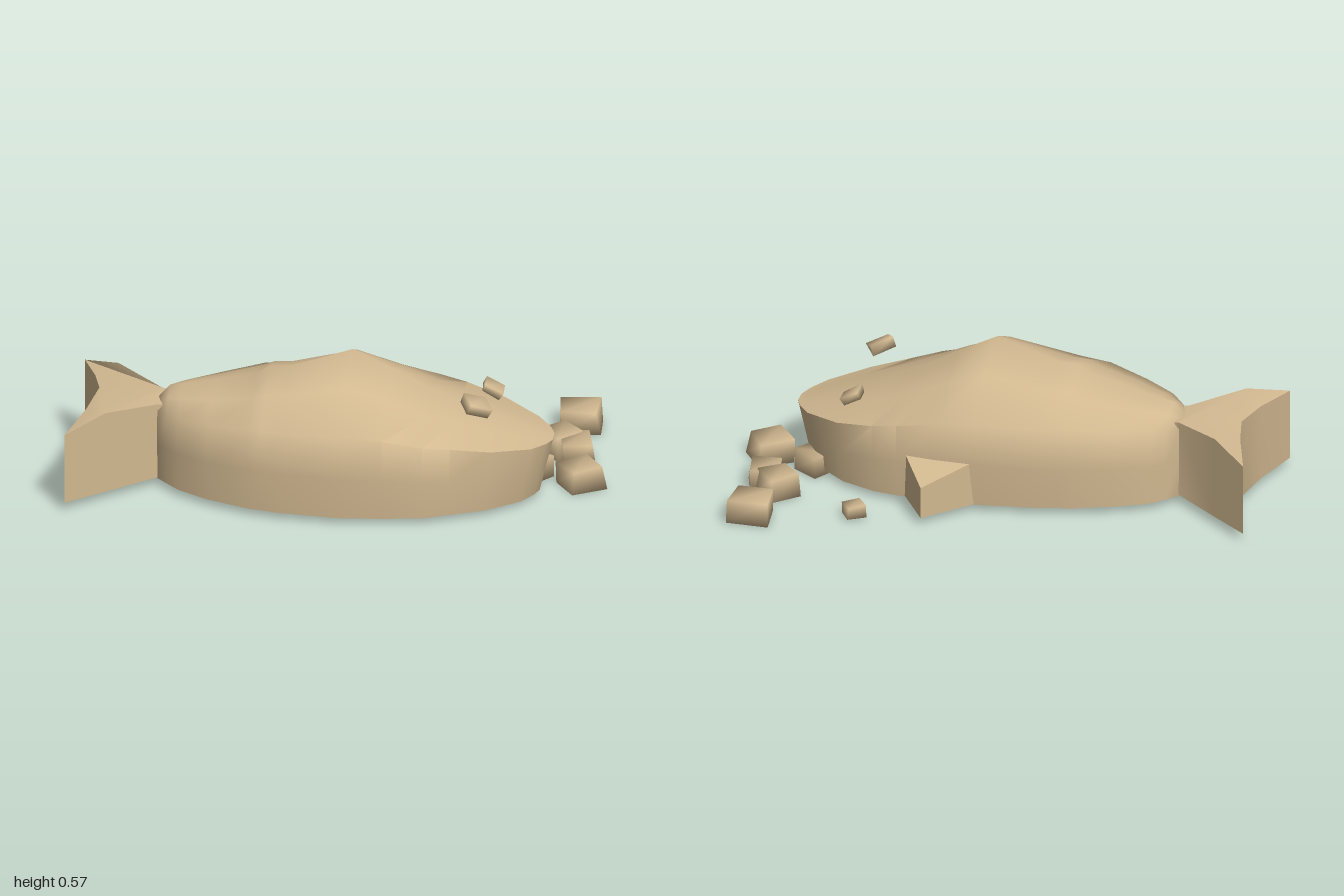
import * as THREE from 'three';
import { mergeVertices, toCreasedNormals } from 'three/addons/utils/BufferGeometryUtils.js';

const sand = new THREE.MeshStandardMaterial({ color: 0xd2b991 });
sand.name = 'sand';

function add(parent, name, geometry) {
  const mesh = new THREE.Mesh(geometry, sand);
  mesh.name = name;
  parent.add(mesh);
  return mesh;
}

// Merge corners and shade them smoothly
function soften(geometry) {
  geometry.deleteAttribute('uv');
  geometry.deleteAttribute('normal');
  const merged = mergeVertices(geometry, 1e-4);
  merged.computeVertexNormals();
  return merged;
}

// Fish body: sections of [x, back z, front z, wall height, ridge height]
const SECTIONS = [
  [-0.68, 0.08, 0.235, 0.31, 0.34],
  [-0.64, 0.03, 0.28, 0.32, 0.385],
  [-0.59, -0.02, 0.335, 0.33, 0.395],
  [-0.47, -0.08, 0.41, 0.34, 0.42],
  [-0.31, -0.14, 0.475, 0.36, 0.457],
  [-0.26, -0.15, 0.485, 0.36, 0.49],
  [-0.19, -0.168, 0.5, 0.36, 0.49],
  [0.05, -0.203, 0.521, 0.365, 0.57],
  [0.2, -0.203, 0.505, 0.35, 0.495],
  [0.35, -0.195, 0.482, 0.32, 0.415],
  [0.45, -0.18, 0.44, 0.3, 0.37],
  [0.6, -0.125, 0.38, 0.27, 0.312],
  [0.74, -0.02, 0.28, 0.245, 0.26],
  [0.79, 0.05, 0.21, 0.238, 0.242],
  [0.81, 0.1, 0.16, 0.235, 0.236],
];

function bodyGeometry() {
  const pos = [], idx = [], n = 9;
  for (const [x, back, front, wall, ridge] of SECTIONS) {
    const mid = (back + front) / 2, half = (front - back) / 2;
    const floor = 0.028 - 0.005 * x;
    const tuck = 0.05 * Math.max(0, (x - 0.4) / 0.41); // nose leans forward
    const ring = [
      [-0.96, floor], [-1, floor + (wall - floor) * 0.5], [-0.985, wall],
      [-0.48, wall + (ridge - wall) * 0.6], [0, ridge], [0.48, wall + (ridge - wall) * 0.6],
      [0.985, wall], [1, floor + (wall - floor) * 0.5], [0.96, floor],
    ];
    for (const [u, y] of ring) {
      const lean = tuck * Math.max(0, 1 - (y - floor) / (wall - floor));
      pos.push(x - lean, y, mid + half * u);
    }
  }
  const last = SECTIONS.length - 1;
  for (let i = 0; i < last; i++) {
    for (let j = 0; j < n; j++) {
      const k = (j + 1) % n;
      const a = i * n + j, b = a + n, c = i * n + k, d = c + n;
      idx.push(a, c, b, b, c, d);
    }
  }
  for (let j = 1; j < n - 1; j++) {
    idx.push(0, j + 1, j);
    idx.push(last * n, last * n + j, last * n + j + 1);
  }
  const g = new THREE.BufferGeometry();
  g.setAttribute('position', new THREE.Float32BufferAttribute(pos, 3));
  g.setIndex(idx);
  return toCreasedNormals(g, 1.2);
}

// Upright slab from an [x, z] outline; top and bottom heights follow rules
function slab(outline, topAt, bottom) {
  const shape = new THREE.Shape(outline.map(([x, z]) => new THREE.Vector2(x, -z)));
  const g = new THREE.ExtrudeGeometry(shape, { depth: 1, bevelEnabled: false });
  g.rotateX(-Math.PI / 2);
  const p = g.attributes.position;
  for (let i = 0; i < p.count; i++) {
    p.setY(i, p.getY(i) > 0.5 ? topAt(p.getX(i), p.getZ(i)) : bottom);
  }
  return toCreasedNormals(g, 1.0);
}

// Rough block with seeded, slightly displaced corners
function blockGeometry(w, h, d, seed, rough) {
  let s = seed * 7919 + 17;
  const rnd = () => ((s = (s * 16807) % 2147483647) / 2147483647) - 0.5;
  const g = soften(new THREE.BoxGeometry(w, h, d));
  const p = g.attributes.position;
  for (let i = 0; i < p.count; i++) {
    const low = p.getY(i) < 0;
    p.setXYZ(i, p.getX(i) + rnd() * w * rough,
      p.getY(i) + (low ? 0 : -Math.abs(rnd()) * h * rough),
      p.getZ(i) + rnd() * d * rough);
  }
  g.computeVertexNormals();
  return g;
}

export function createModel() {
  const model = new THREE.Group();
  model.name = 'sandFish';

  add(model, 'body', bodyGeometry());

  // Forked tail, highest around the middle of the fork
  const tailTop = (x) => (x < -0.87
    ? THREE.MathUtils.mapLinear(x, -1, -0.87, 0.315, 0.362)
    : THREE.MathUtils.mapLinear(x, -0.87, -0.66, 0.362, 0.335));
  add(model, 'tail', slab([
    [-0.66, 0.085], [-0.68, 0.08], [-0.86, -0.068], [-1, -0.18], [-0.94, 0.0], [-0.91, 0.13],
    [-0.94, 0.3], [-1, 0.5], [-0.86, 0.385], [-0.68, 0.235], [-0.66, 0.23],
  ], tailTop, 0.035));

  // Side fin sloping down towards its tip
  add(model, 'sideFin', slab([
    [0.04, -0.18], [0.32, -0.18], [0.21, -0.355],
  ], (x, z) => THREE.MathUtils.mapLinear(z, -0.18, -0.355, 0.21, 0.155), 0.03));

  // Loose blocks ahead of the mouth: x, z, width, height, depth, turn
  [
    [0.842, -0.455, 0.15, 0.098, 0.145, 0.06],
    [0.8, -0.235, 0.12, 0.096, 0.13, 0.75],
    [0.865, -0.17, 0.11, 0.09, 0.13, 0.25],
    [0.9, 0.06, 0.135, 0.097, 0.13, 0.6],
    [0.725, -0.015, 0.12, 0.088, 0.07, -0.65],
    [0.47, -0.36, 0.07, 0.05, 0.065, 0.65],
  ].forEach(([x, z, w, h, d, turn], i) => {
    const block = add(model, 'looseBlock' + (i + 1), blockGeometry(w, h, d, i + 1, 0.16));
    block.position.set(x, h / 2 + (i === 5 ? 0.012 : 0.002), z);
    block.rotation.y = turn;
  });

  // Small tilted stones above the head as eyes
  [
    [0.535, 0.417, 0.275, 0.09, 0.042, 0.075, 0.3, -0.45, 0.35],
    [0.56, 0.35, -0.03, 0.075, 0.032, 0.075, 0.05, -0.5, 0.1],
  ].forEach(([x, y, z, w, h, d, rx, rz, turn], i) => {
    const eye = add(model, i ? 'rightEye' : 'leftEye', blockGeometry(w, h, d, i + 11, 0.2));
    eye.position.set(x, y, z);
    eye.rotation.set(rx, turn, rz);
  });

  return model;
}
